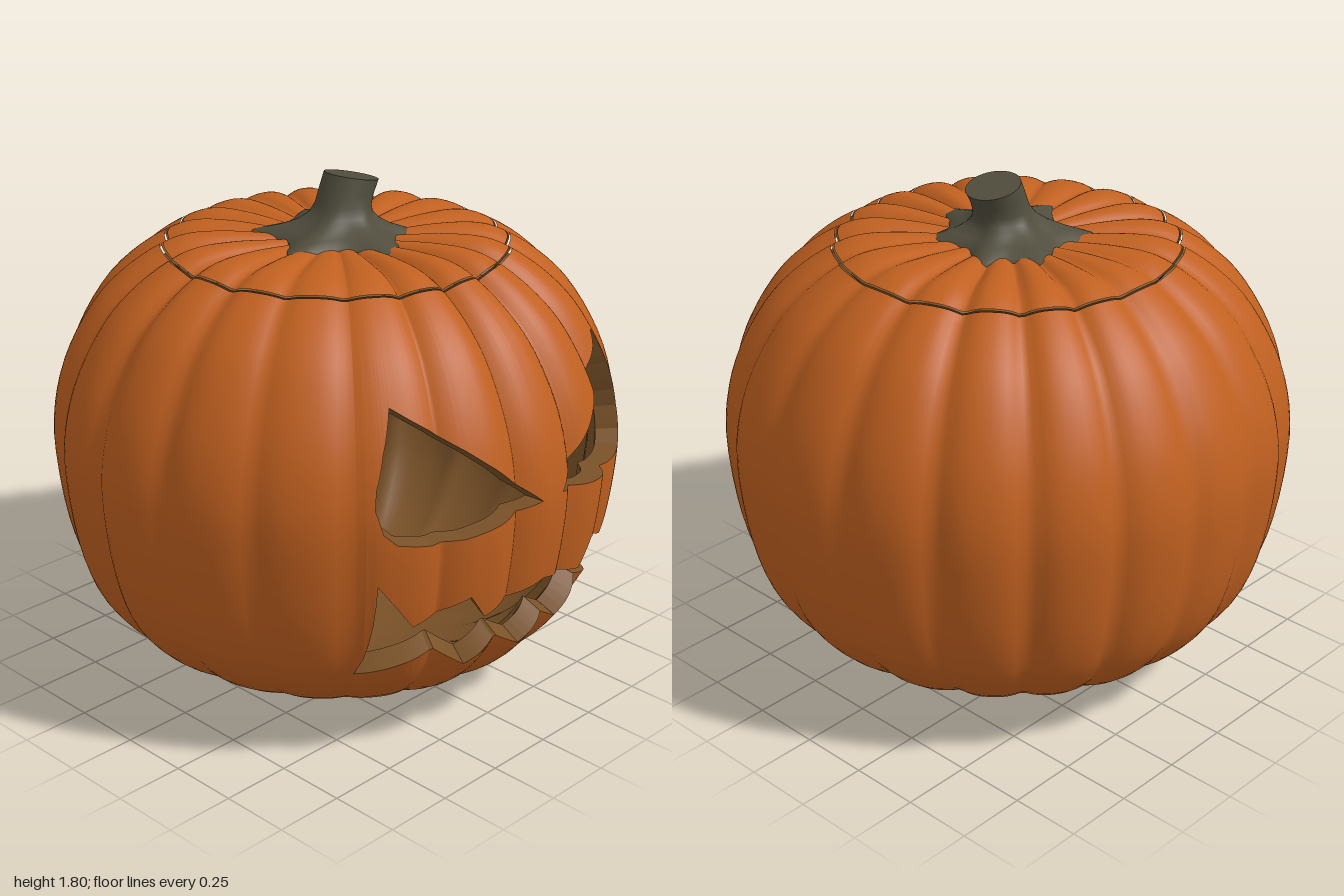
import * as THREE from 'three';
import { mergeVertices } from 'three/addons/utils/BufferGeometryUtils.js';

const V2 = (p) => new THREE.Vector2(p[0], p[1]);

// Silhouette from the bottom centre to the top centre, as radius and height
const PROFILE = [[0, 0], [0.22, 0.007], [0.42, 0.045], [0.58, 0.095], [0.71, 0.165], [0.82, 0.265], [0.91, 0.4],
  [0.97, 0.6], [1, 0.86], [0.985, 1.04], [0.93, 1.21], [0.83, 1.38], [0.72, 1.49], [0.6, 1.568],
  [0.5, 1.602], [0.36, 1.606], [0.18, 1.59], [0, 1.58]];
const SEAM = 13 / (PROFILE.length - 1);
const curve = new THREE.SplineCurve(PROFILE.map(V2));

// Right half of the carved holes: upper and lower edges, from the outer end inwards
const EYE_TOP = [[0.6, 1.0], [0.59, 1.06], [0.55, 1.17], [0.49, 1.3], [0.05, 0.92]];
const EYE_BOTTOM = [[0.6, 1.0], [0.585, 0.92], [0.55, 0.88], [0.45, 0.86], [0.35, 0.865], [0.2, 0.89], [0.05, 0.92]];
const MOUTH_TOP = [[0.575, 0.355], [0.59, 0.73], [0.475, 0.56], [0.305, 0.64], [0.24, 0.545], [0, 0.615]];
const MOUTH_BOTTOM = [[0.575, 0.355], [0.375, 0.435], [0.235, 0.33], [0.12, 0.405], [0, 0.33]];

// Profile parameter at a height below the lid
function paramAt(y) {
  let a = 0, b = SEAM;
  for (let i = 0; i < 40; i++) {
    const m = (a + b) / 2;
    if (curve.getPoint(m).y < y) a = m; else b = m;
  }
  return (a + b) / 2;
}

// Point on the ribbed skin; scale below 1 gives the inside of the wall
function skin(theta, t, scale = 1) {
  const p = curve.getPoint(t);
  const phase = 20 * theta + 0.9 * Math.sin(2 * theta);
  const crease = Math.pow(1 - Math.abs(Math.cos(phase / 2)), 1.4) * (0.75 + 0.25 * Math.sin(3 * theta + 1));
  const r = p.x * (1 - 0.045 * crease) * scale;
  const dip = 0.035 * crease * Math.pow(p.y / 1.6, 4) * Math.min(1, p.x / 0.4);
  return new THREE.Vector3(r * Math.sin(theta), 0.85 + (p.y - dip - 0.85) * scale, r * Math.cos(theta));
}

// Turn a half edge into a full mirrored chain of [angle, profile parameter]
function chain(half) {
  const side = [];
  half.forEach(([x, y], i) => {
    const next = half[i + 1];
    const steps = next ? 5 : 1;
    for (let k = 0; k < steps; k++) {
      const f = k / steps;
      const px = next ? x + (next[0] - x) * f : x;
      const py = next ? y + (next[1] - y) * f : y;
      const t = paramAt(py);
      side.push([Math.asin(px / (0.982 * curve.getPoint(t).x)), t]);
    }
  });
  const end = side[0][1];
  const left = side.map(([a, t]) => [-a, t]);
  return [[-Math.PI, end], ...left, ...side.reverse(), [Math.PI, end]];
}

function sample(list, theta) {
  for (let i = 1; i < list.length; i++) {
    const [a0, t0] = list[i - 1], [a1, t1] = list[i];
    if (theta <= a1) return a1 - a0 < 1e-9 ? t1 : t0 + (t1 - t0) * (theta - a0) / (a1 - a0);
  }
  return list[list.length - 1][1];
}

// Surface through a grid of points; keep(i) may drop columns
function grid(cols, rows, point, { keep = () => true, flip = false, flat = false } = {}) {
  const pos = [], idx = [];
  for (let i = 0; i < cols; i++) for (let j = 0; j < rows; j++) pos.push(...point(i, j).toArray());
  for (let i = 0; i < cols - 1; i++) {
    if (!keep(i)) continue;
    for (let j = 0; j < rows - 1; j++) {
      const a = i * rows + j, b = a + rows, c = b + 1, d = a + 1;
      if (flip) idx.push(a, c, b, a, d, c); else idx.push(a, b, c, a, c, d);
    }
  }
  let g = new THREE.BufferGeometry();
  g.setAttribute('position', new THREE.Float32BufferAttribute(pos, 3));
  g.setIndex(idx);
  g = flat ? g.toNonIndexed() : mergeVertices(g, 1e-5);
  g.computeVertexNormals();
  return g;
}

// Join grids into one smooth surface
function join(list) {
  const pos = [];
  for (const g of list) pos.push(...g.toNonIndexed().attributes.position.array);
  const all = new THREE.BufferGeometry();
  all.setAttribute('position', new THREE.Float32BufferAttribute(pos, 3));
  const merged = mergeVertices(all, 1e-5);
  merged.computeVertexNormals();
  return merged;
}

export function createModel() {
  const model = new THREE.Group();
  model.name = 'carvedPumpkin';
  const material = (name, color, side = THREE.FrontSide) => {
    const m = new THREE.MeshStandardMaterial({ color, side });
    m.name = name;
    return m;
  };
  const orange = material('orangeSkin', 0xc06020);
  const flesh = material('brownFlesh', 0x7a5228, THREE.DoubleSide);
  const green = material('greyGreenStem', 0x504d3d);
  const add = (name, geometry, mat) => {
    const mesh = new THREE.Mesh(geometry, mat);
    mesh.name = name;
    model.add(mesh);
  };

  // Columns run around the body and include every corner of the holes
  const [mLo, mHi, eLo, eHi] = [MOUTH_BOTTOM, MOUTH_TOP, EYE_BOTTOM, EYE_TOP].map(chain);
  const angles = new Set();
  for (let i = 0; i <= 200; i++) angles.add(-Math.PI + (i / 200) * Math.PI * 2);
  for (const c of [mLo, mHi, eLo, eHi]) for (const [a] of c) angles.add(a);
  const thetas = [...angles].sort((a, b) => a - b);
  const n = thetas.length;
  const at = (c) => thetas.map((a) => sample(c, a));
  const level = (t) => thetas.map(() => t);
  const [mouthLo, mouthHi, eyeLo, eyeHi] = [mLo, mHi, eLo, eHi].map(at);

  // Bands of skin below, between and above the holes
  const band = (lo, hi, rows, scale, flip) => grid(n, rows + 1,
    (i, j) => skin(thetas[i], lo[i] + (hi[i] - lo[i]) * j / rows, scale), { flip });
  const shell = (top, scale, flip) => join([
    band(level(0), mouthLo, 14, scale, flip),
    band(mouthHi, eyeLo, 10, scale, flip),
    band(eyeHi, level(top), 14, scale, flip)]);
  const WALL = 0.92;
  add('body', shell(SEAM - 0.003, 1, false), orange);
  add('lid', band(level(SEAM + 0.003), level(1), 14, 1, false), orange);
  add('hollowInside', shell(1, WALL, true), flesh);

  // Cut faces through the wall
  const cut = (name, edge, lo, hi) => add(name, grid(n, 2,
    (i, j) => skin(thetas[i], edge[i], j ? WALL : 1),
    { flat: true, keep: (i) => hi[i] - lo[i] > 1e-6 || hi[i + 1] - lo[i + 1] > 1e-6 }), flesh);
  cut('mouthLowerCut', mouthLo, mouthLo, mouthHi);
  cut('mouthUpperCut', mouthHi, mouthLo, mouthHi);
  cut('eyeLowerCut', eyeLo, eyeLo, eyeHi);
  cut('eyeUpperCut', eyeHi, eyeLo, eyeHi);
  cut('lidSeam', level(SEAM), level(0), level(1));

  // Stem: a six-pointed foot narrowing to a leaning round stalk
  const star = new THREE.CatmullRomCurve3([[-0.01, 0.3], [0.11, 0.18], [0.21, 0.16], [0.2, 0], [0.27, -0.12],
    [0.18, -0.17], [0.11, -0.27], [-0.02, -0.21], [-0.19, -0.23], [-0.18, -0.06], [-0.29, 0.07], [-0.12, 0.15]]
    .map(([x, z]) => new THREE.Vector3(x, 0, z)), true);
  // Each ring: height, centre x, share of the star, slope
  const rings = [[1.575, 0, 1, 0], [1.592, 0, 0.98, 0], [1.612, 0.01, 0.58, 0], [1.635, 0.018, 0.28, 0],
    [1.66, 0.026, 0.1, 0.03], [1.69, 0.035, 0.02, 0.08], [1.73, 0.048, 0, 0.15], [1.781, 0.073, 0, 0.22]];
  const SIDES = 72;
  const stemPoint = (i, j, shrink = 1) => {
    const [y, cx, w, slope] = rings[j];
    const a = (i / SIDES) * Math.PI * 2;
    const s = star.getPoint((i % SIDES) / SIDES);
    const dx = 0.094 * Math.sin(a) * shrink;
    const round = new THREE.Vector3(cx + dx, y - slope * dx, 0.094 * Math.cos(a) * shrink);
    return round.lerp(s.setY(y), w);
  };
  add('stem', grid(SIDES + 1, rings.length, (i, j) => stemPoint(i, j)), green);
  add('stemCutTop', grid(SIDES + 1, 2, (i, j) => stemPoint(i, rings.length - 1, 1 - j)), green);
  return model;
}
